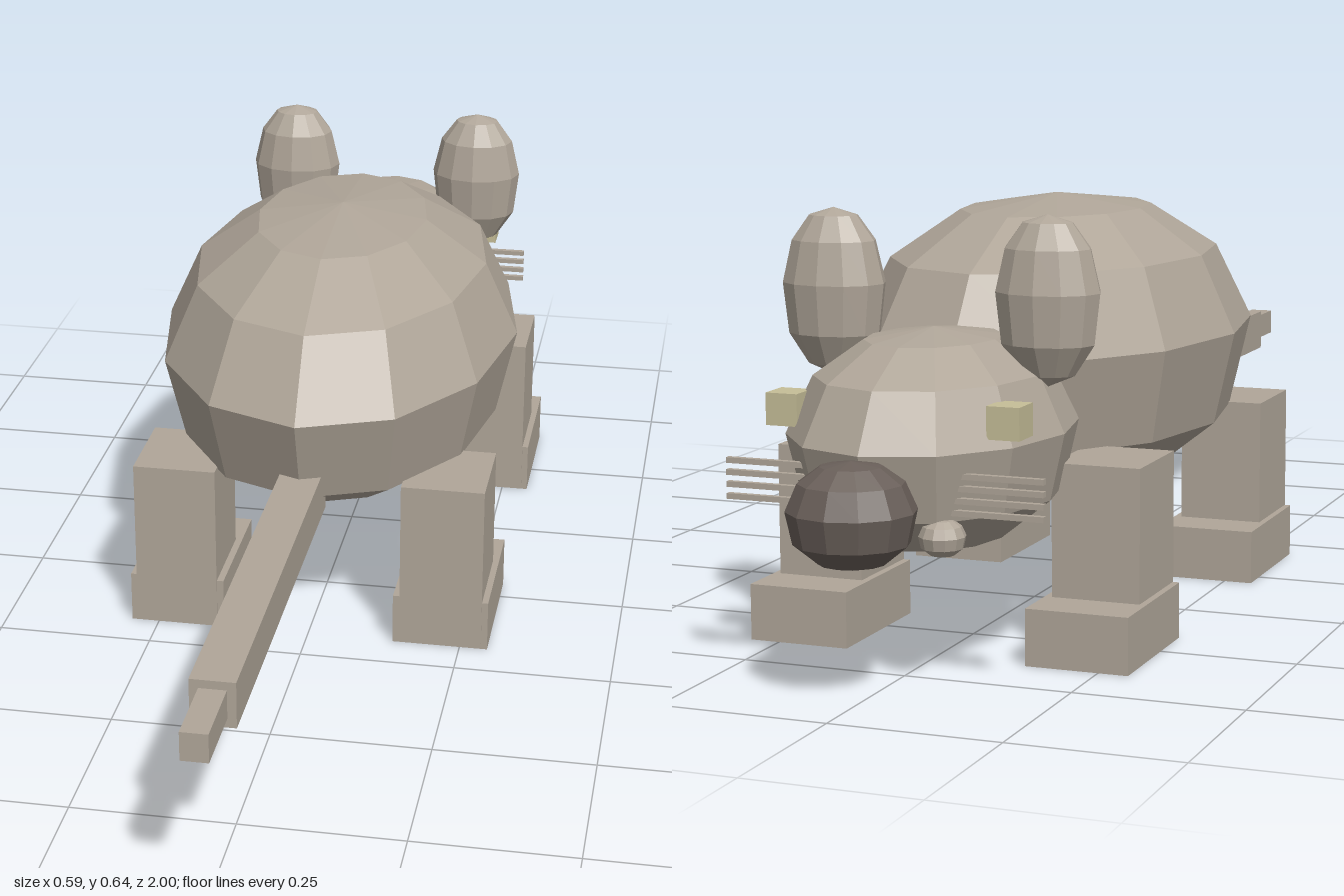
import * as THREE from 'three';

export function createModel() {
  const model = new THREE.Group();
  const material = (name, color) => {
    const m = new THREE.MeshStandardMaterial({ color });
    m.name = name;
    return m;
  };
  const fur = material('fur', 0xb0a699);
  const noseBrown = material('noseBrown', 0x6a605a);
  const eyeYellow = material('eyeYellow', 0xc6be98);

  // Faceted egg profile: radius, height (both from 0 to 1)
  const profile = [[0, 0], [0.515, 0.07], [0.89, 0.253], [1, 0.554], [0.815, 0.806], [0.475, 0.954], [0, 1]]
    .map(([r, h]) => new THREE.Vector2(r, h));

  function add(name, geometry, mat) {
    const mesh = new THREE.Mesh(geometry, mat);
    mesh.name = name;
    model.add(mesh);
    return mesh;
  }

  // Egg with half widths rx, rz, standing between heights y0 and y1
  function egg(name, mat, x, z, rx, rz, y0, y1) {
    const geometry = new THREE.LatheGeometry(profile, 12)
      .scale(rx, y1 - y0, rz).translate(x, y0, z).toNonIndexed();
    geometry.computeVertexNormals();
    return add(name, geometry, mat);
  }

  // Box given by its lower and upper corners
  function box(name, mat, x0, x1, y0, y1, z0, z1) {
    const geometry = new THREE.BoxGeometry(x1 - x0, y1 - y0, z1 - z0)
      .translate((x0 + x1) / 2, (y0 + y1) / 2, (z0 + z1) / 2);
    return add(name, geometry, mat);
  }

  // Box on one side of the body
  function sideBox(name, mat, side, x0, x1, ...rest) {
    return side > 0 ? box(name, mat, x0, x1, ...rest) : box(name, mat, -x1, -x0, ...rest);
  }

  // Body, head and nose
  egg('body', fur, 0, -0.148, 0.295, 0.438, 0.157, 0.632);
  egg('head', fur, 0, -0.637, 0.198, 0.257, 0.16, 0.481);
  egg('nose', noseBrown, 0, -0.915, 0.09, 0.085, 0.187, 0.336);

  // Tail with a thinner tip
  box('tail', fur, -0.033, 0.033, 0.245, 0.316, 0.2, 0.885);
  box('tailTip', fur, -0.02, 0.02, 0.259, 0.303, 0.88, 1);

  for (const side of [-1, 1]) {
    // Ears and small cheek tufts
    egg('ear', fur, side * 0.165, -0.615, 0.078, 0.06, 0.4, 0.643);
    egg('cheek', fur, side * 0.09, -0.82, 0.033, 0.033, 0.192, 0.246);

    sideBox('eye', eyeYellow, side, 0.142, 0.19, 0.352, 0.398, -0.788, -0.738);

    // Whiskers
    for (let i = 0; i < 4; i++) {
      const y = 0.25 + i * 0.017;
      sideBox('whisker', fur, side, 0.08, 0.237, y, y + 0.008, -0.82, -0.811);
    }

    // Legs with feet pointing forward
    for (const [name, z] of [['back', 0.182], ['front', -0.416]]) {
      sideBox(name + 'Leg', fur, side, 0.151, 0.285, 0.01, 0.281, z - 0.15, z + 0.002);
      sideBox(name + 'Foot', fur, side, 0.14, 0.295, 0, 0.084, z - 0.228, z);
    }
  }
  return model;
}
